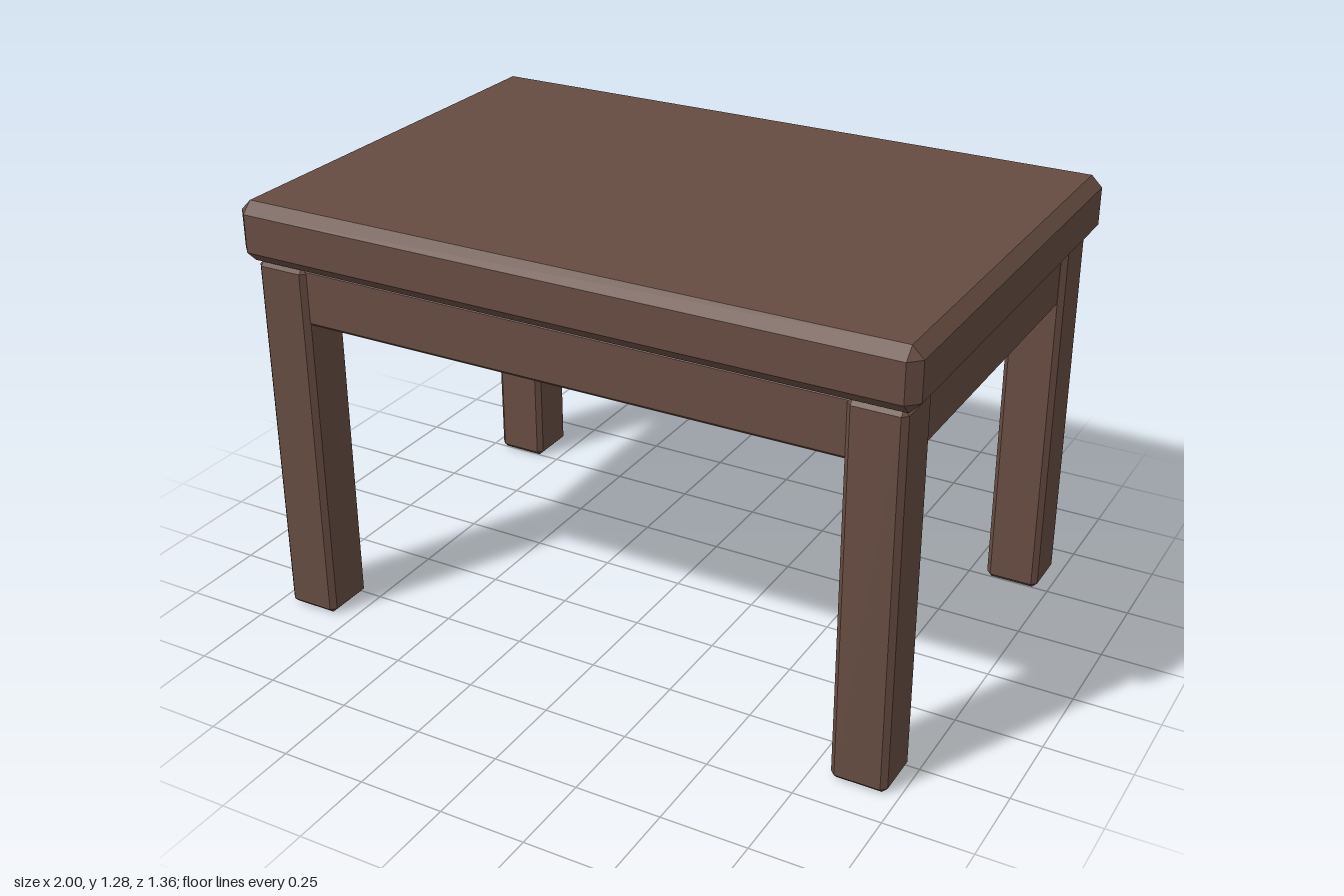
import * as THREE from 'three';
import { ConvexGeometry } from 'three/addons/geometries/ConvexGeometry.js';

// Box with every edge and corner cut flat by the same bevel
function bevelledBox(width, height, depth, bevel) {
  const half = [width / 2, height / 2, depth / 2];
  const points = [];
  for (const sx of [-1, 1]) for (const sy of [-1, 1]) for (const sz of [-1, 1]) {
    const sign = [sx, sy, sz];
    for (let face = 0; face < 3; face++) {
      const p = half.map((h, axis) => sign[axis] * (axis === face ? h : h - bevel));
      points.push(new THREE.Vector3(...p));
    }
  }
  return new ConvexGeometry(points);
}

export function createModel() {
  const group = new THREE.Group();
  group.name = 'table';

  const wood = new THREE.MeshStandardMaterial({ color: 0x664c42 });
  wood.name = 'dark brown wood';

  const add = (name, geometry, x, y, z) => {
    const mesh = new THREE.Mesh(geometry, wood);
    mesh.name = name;
    mesh.position.set(x, y, z);
    group.add(mesh);
  };

  // Thick top slab
  add('tableTop', bevelledBox(2, 0.175, 1.36, 0.032), 0, 1.1925, 0);

  // Solid apron block, set just inside the outer faces of the legs
  add('apron', bevelledBox(1.9, 0.172, 1.27, 0.01), 0, 1.019, 0);

  // Four square legs
  const leg = bevelledBox(0.16, 1.105, 0.16, 0.015);
  for (const [side, sx] of [['Left', 1], ['Right', -1]]) {
    for (const [end, sz] of [['front', 1], ['back', -1]]) {
      add(`${end}${side}Leg`, leg, sx * 0.886, 0.5525, sz * 0.569);
    }
  }

  return group;
}
